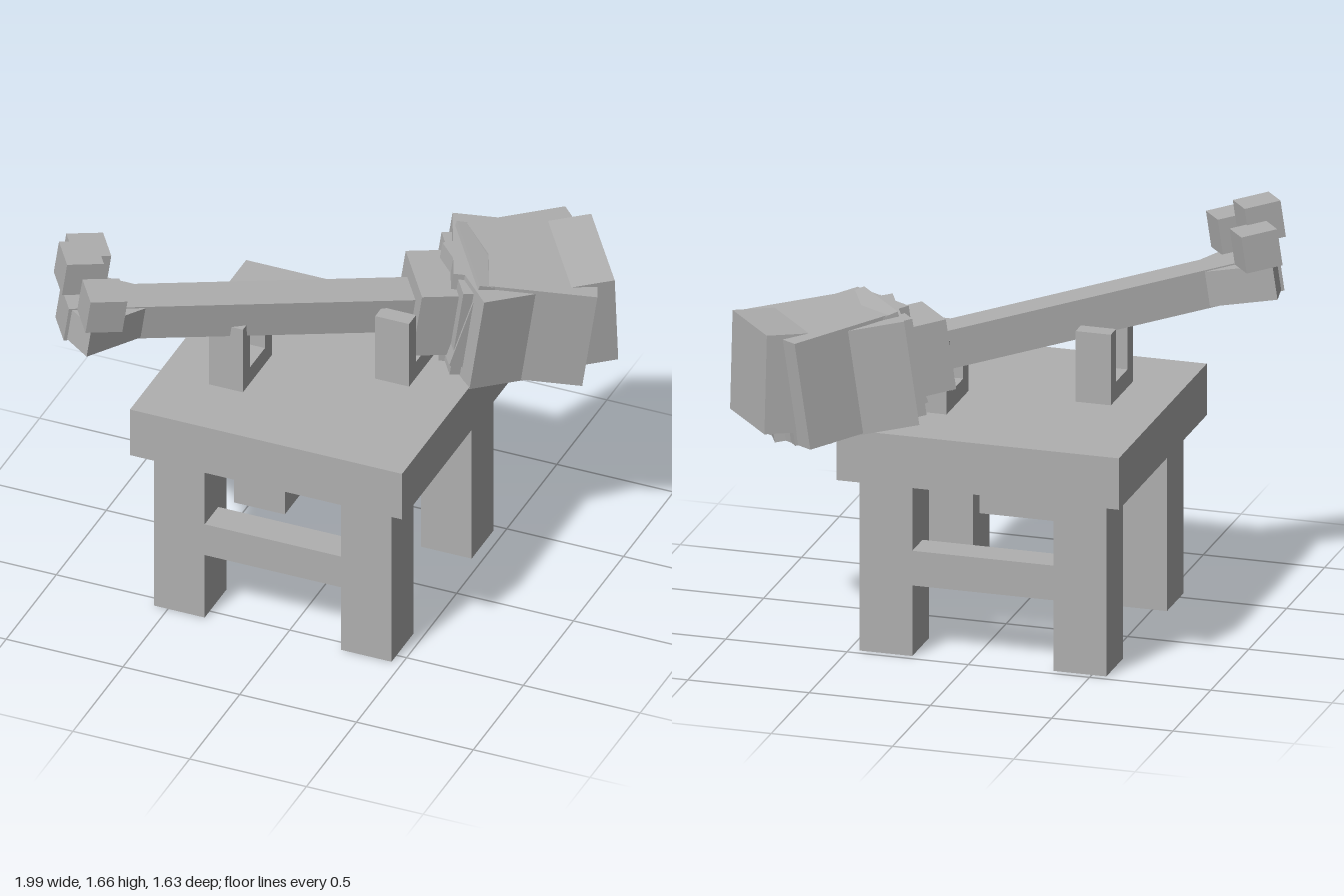
import * as THREE from 'three';

const rad = THREE.MathUtils.degToRad;

export function createModel() {
  const model = new THREE.Group();
  const stone = new THREE.MeshStandardMaterial({ color: 0xb0b0b0 });
  stone.name = 'grey stone';

  function box(parent, name, size, pos, rot = [0, 0, 0]) {
    const mesh = new THREE.Mesh(new THREE.BoxGeometry(...size), stone);
    mesh.name = name;
    mesh.position.set(...pos);
    mesh.rotation.set(...rot.map(rad));
    parent.add(mesh);
    return mesh;
  }
  // Box given by its lower and upper corners
  const span = (parent, name, a, b) => box(parent, name,
    a.map((v, i) => b[i] - v), a.map((v, i) => (v + b[i]) / 2));

  // Table
  const table = new THREE.Group();
  table.name = 'table';
  model.add(table);
  span(table, 'tableTop', [-0.635, 0.73, -0.545], [0.53, 0.945, 0.615]);
  for (const x of [-0.56, 0.24]) {
    for (const z of [-0.47, 0.33]) {
      span(table, 'tableLeg', [x, 0, z], [x + 0.217, 0.73, z + 0.22]);
    }
  }
  // Rails flush with the outer faces of the legs
  for (const z of [-0.47, 0.415]) {
    span(table, 'legRail', [-0.345, 0.295, z], [0.24, 0.44, z + 0.135]);
  }

  // U-shaped cradles that carry the handle
  for (const [x, z] of [[-0.42, 0.037], [0.165, -0.258]]) {
    const cradle = new THREE.Group();
    cradle.name = 'cradle';
    table.add(cradle);
    span(cradle, 'cradleBase', [x, 0.945, z + 0.07], [x + 0.145, 1.02, z + 0.22]);
    for (const dz of [0, 0.22]) {
      span(cradle, 'cradlePost', [x, 0.945, z + dz], [x + 0.145, 1.24, z + dz + 0.07]);
    }
  }

  // Hammer, built along x and then laid diagonally with a slight tilt
  const hammer = new THREE.Group();
  hammer.name = 'hammer';
  hammer.position.set(0, 1.225, 0);
  hammer.rotation.set(0, rad(36), rad(-8.5), 'ZYX');
  model.add(hammer);
  span(hammer, 'handle', [-1.13, -0.078, -0.075], [0.42, 0.078, 0.075]);
  span(hammer, 'collar', [0.28, -0.14, -0.15], [0.44, 0.15, 0.15]);

  // Head: a core with blocks flaring out toward both ends
  span(hammer, 'headCore', [0.43, -0.2, -0.2], [0.98, 0.2, 0.2]);
  box(hammer, 'headTopFar', [0.43, 0.4, 0.43], [0.853, 0.036, 0.012], [0, 0, 10]);
  box(hammer, 'headTopNear', [0.43, 0.4, 0.42], [0.665, 0.012, 0], [0, 0, -10]);
  for (const s of [-1, 1]) {
    box(hammer, 'headSideFar', [0.43, 0.44, 0.4], [0.78, 0.02, s * 0.054], [0, -12 * s, 0]);
    box(hammer, 'headSideNear', [0.43, 0.43, 0.4], [0.66, 0.01, s * 0.05], [0, 12 * s, 0]);
  }

  // Pommel: splayed prongs and three cubes
  for (const s of [-1, 1]) {
    box(hammer, 'pommelProng', [0.27, 0.145, 0.14], [-0.97, 0, s * 0.07], [0, 25 * s, 0]);
    box(hammer, 'pommelCube', [0.15, 0.15, 0.15], [-1.02, 0.147, s * 0.148]);
  }
  box(hammer, 'pommelCube', [0.15, 0.15, 0.15], [-1.09, 0.215, -0.01]);
  return model;
}
